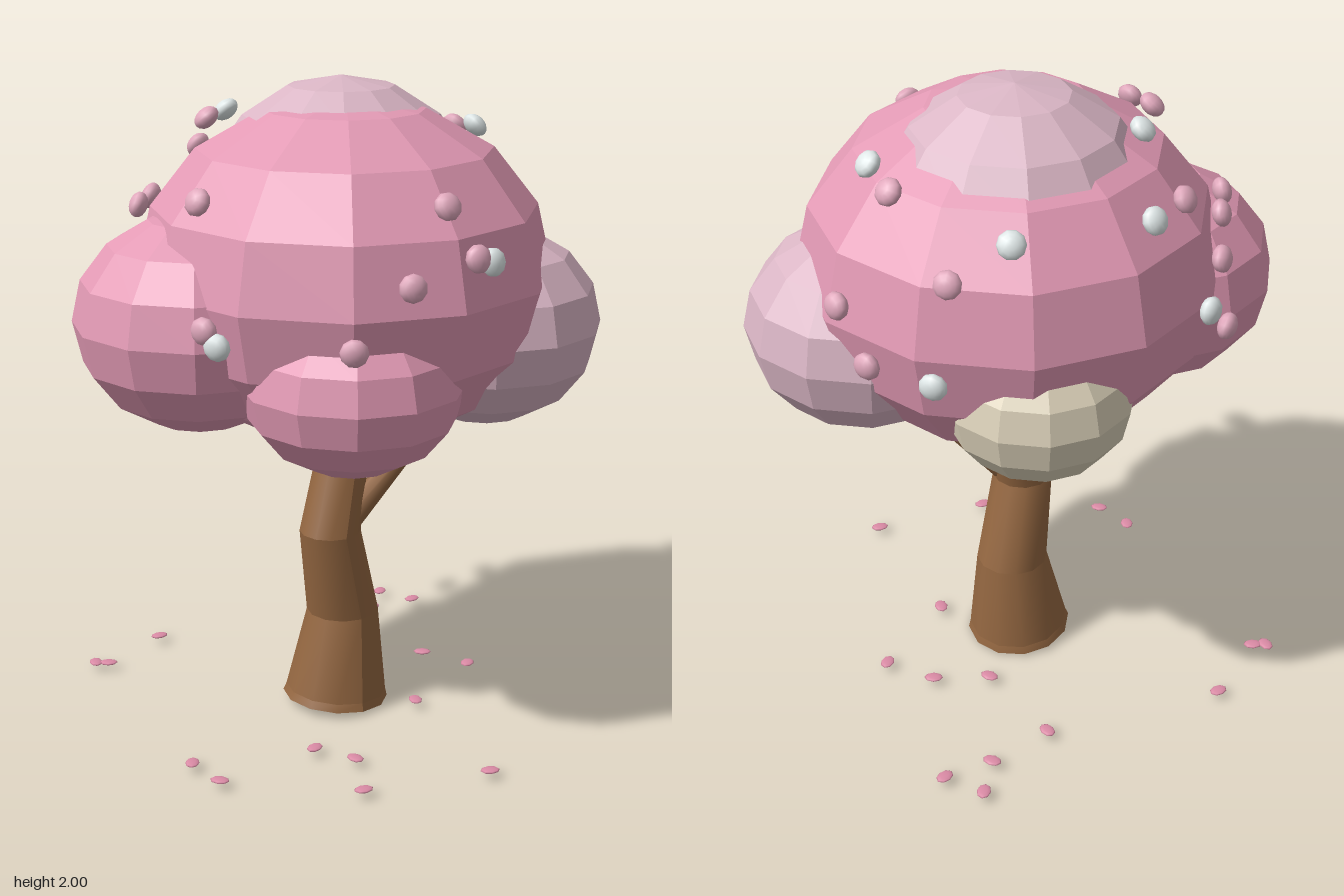
import * as THREE from 'three';

const mat = (name, color, extra = {}) => {
  const m = new THREE.MeshStandardMaterial({ color, ...extra });
  m.name = name;
  return m;
};

export function createModel() {
  const root = new THREE.Group();
  root.name = 'blossomTree';

  const bark = mat('bark brown', 0x946741);
  const pink = mat('blossom pink', 0xe39ab5, { flatShading: true });
  const pale = mat('pale mauve', 0xdab6c5, { flatShading: true });
  const cream = mat('cream', 0xdcd2ba, { flatShading: true });
  const petalPink = mat('flower pink', 0xe0a8bc);
  const petalWhite = mat('flower white', 0xe2eaea);
  const petalDeep = mat('fallen petal pink', 0xdb8ba6);

  const add = (name, geometry, material, parent = root) => {
    const mesh = new THREE.Mesh(geometry, material);
    mesh.name = name;
    parent.add(mesh);
    return mesh;
  };

  // Trunk: sheared, tapering segments that share their end rings [x, y, z, radius]
  const trunk = new THREE.Group();
  trunk.name = 'trunk';
  root.add(trunk);
  const rings = [
    [0.002, 0.015, -0.022, 0.168],
    [0.005, 0.04, -0.022, 0.16],
    [0.028, 0.31, -0.02, 0.114],
    [-0.035, 0.6, 0.008, 0.096],
    [0.045, 0.92, -0.02, 0.078],
    [0.08, 1.15, -0.03, 0.068],
  ];
  for (let i = 0; i < rings.length - 1; i++) {
    const [ax, ay, az, ar] = rings[i];
    const [bx, by, bz, br] = rings[i + 1];
    const h = by - ay;
    const g = new THREE.CylinderGeometry(br, ar, h, 12, 1, i > 0);
    const p = g.attributes.position;
    for (let k = 0; k < p.count; k++) {
      const t = p.getY(k) / h + 0.5;
      const x = p.getX(k);
      // the foot leans slightly
      const lean = i === 0 ? -0.09 * x : i === 1 ? -0.09 * x * (1 - t) : 0;
      p.setXYZ(k, x + ax + (bx - ax) * t, ay + h * t + lean, p.getZ(k) + az + (bz - az) * t);
    }
    g.computeVertexNormals();
    add('trunkSegment', g, bark, trunk);
  }

  // Branches: tapered cylinders between two points
  const up = new THREE.Vector3(0, 1, 0);
  const branch = (name, from, to, r0, r1) => {
    const a = new THREE.Vector3(...from);
    const b = new THREE.Vector3(...to);
    const d = b.clone().sub(a);
    const m = add(name, new THREE.CylinderGeometry(r1, r0, d.length(), 8), bark);
    m.position.copy(a).add(b).multiplyScalar(0.5);
    m.quaternion.setFromUnitVectors(up, d.normalize());
  };
  branch('leftBranch', [0.03, 0.64, 0.025], [0.28, 0.93, 0.1], 0.044, 0.022);
  branch('rightBranch', [0.02, 0.82, -0.03], [-0.17, 1.04, -0.1], 0.034, 0.02);

  // Crown: faceted, flattened spheres
  const blob = (name, material, [x, y, z], r, ry, floor = 0) => {
    const g = new THREE.SphereGeometry(1, 12, 8);
    g.scale(r, ry, r);
    g.translate(x, y, z);
    const p = g.attributes.position;
    for (let k = 0; k < p.count; k++) p.setY(k, Math.max(p.getY(k), floor));
    g.computeVertexNormals();
    add(name, g, material);
  };
  const crown = new THREE.Vector3(0.035, 1.42, -0.02);
  blob('mainCrown', pink, crown.toArray(), 0.63, 0.53, 0.925);
  blob('topCrown', pale, [0.06, 1.6, -0.08], 0.42, 0.4);
  blob('rightCrown', pink, [-0.4, 1.3, -0.14], 0.38, 0.33);
  blob('frontCrown', pink, [-0.13, 1.165, 0.285], 0.33, 0.265);
  blob('leftCrown', pale, [0.42, 1.25, 0.175], 0.36, 0.31);
  blob('backCrown', cream, [0.19, 1.19, -0.37], 0.28, 0.245);

  // Flowers: flattened buds lying against the crown [x, y, z]
  const flowers = new THREE.Group();
  flowers.name = 'flowers';
  root.add(flowers);
  const bud = new THREE.SphereGeometry(0.041, 10, 8);
  bud.scale(1, 0.68, 1);
  const placeFlowers = (name, material, list) => {
    for (const [x, y, z] of list) {
      const m = add(name, bud, material, flowers);
      m.position.set(x, y, z);
      const n = m.position.clone().sub(crown).normalize();
      m.quaternion.setFromUnitVectors(up, n);
    }
  };
  placeFlowers('pinkFlower', petalPink, [
    [-0.3, 1.35, -0.61], [-0.3, 1.55, -0.57], [-0.19, 1.75, -0.525],
    [-0.39, 1.62, -0.46], [-0.485, 1.62, -0.355], [-0.32, 1.885, -0.22],
    [0.505, 1.655, -0.39], [0.66, 1.375, -0.22], [0.68, 1.52, -0.11],
    [0.5, 1.81, -0.11], [-0.55, 1.72, 0.15], [-0.605, 1.39, 0.275],
    [-0.3, 1.35, 0.56], [-0.145, 1.52, 0.61], [0.01, 1.715, 0.545],
    [0.07, 1.575, 0.61],
  ]);
  placeFlowers('whiteFlower', petalWhite, [
    [-0.19, 1.46, -0.655], [-0.05, 1.745, -0.565], [-0.195, 1.885, -0.33],
    [0.565, 1.365, -0.4], [0.345, 1.75, -0.455], [0.475, 1.83, 0.03],
    [-0.585, 1.35, 0.31], [0.12, 1.56, 0.61],
  ]);

  // Fallen petals: thin discs on the ground [x, z]
  const fallen = new THREE.Group();
  fallen.name = 'fallenPetals';
  root.add(fallen);
  const petal = new THREE.SphereGeometry(0.03, 8, 6);
  petal.scale(1, 0.2, 0.72);
  [
    [-0.3, -0.69], [-0.575, -0.615], [-0.54, -0.59], [0.56, -0.605],
    [0.465, -0.515], [0.62, -0.485], [0.25, -0.51], [0.11, 0.675],
    [-0.62, 0.165], [-0.6, 0.3], [-0.26, 0.28], [-0.19, 0.4],
    [-0.27, 0.57], [0.18, 0.18], [0.4, -0.1], [0.48, 0.05], [0.25, -0.2],
  ].forEach(([x, z], i) => {
    const m = add('fallenPetal', petal, petalDeep, fallen);
    m.position.set(x, 0.026, z);
    m.rotation.y = i * 1.3;
  });

  return root;
}
